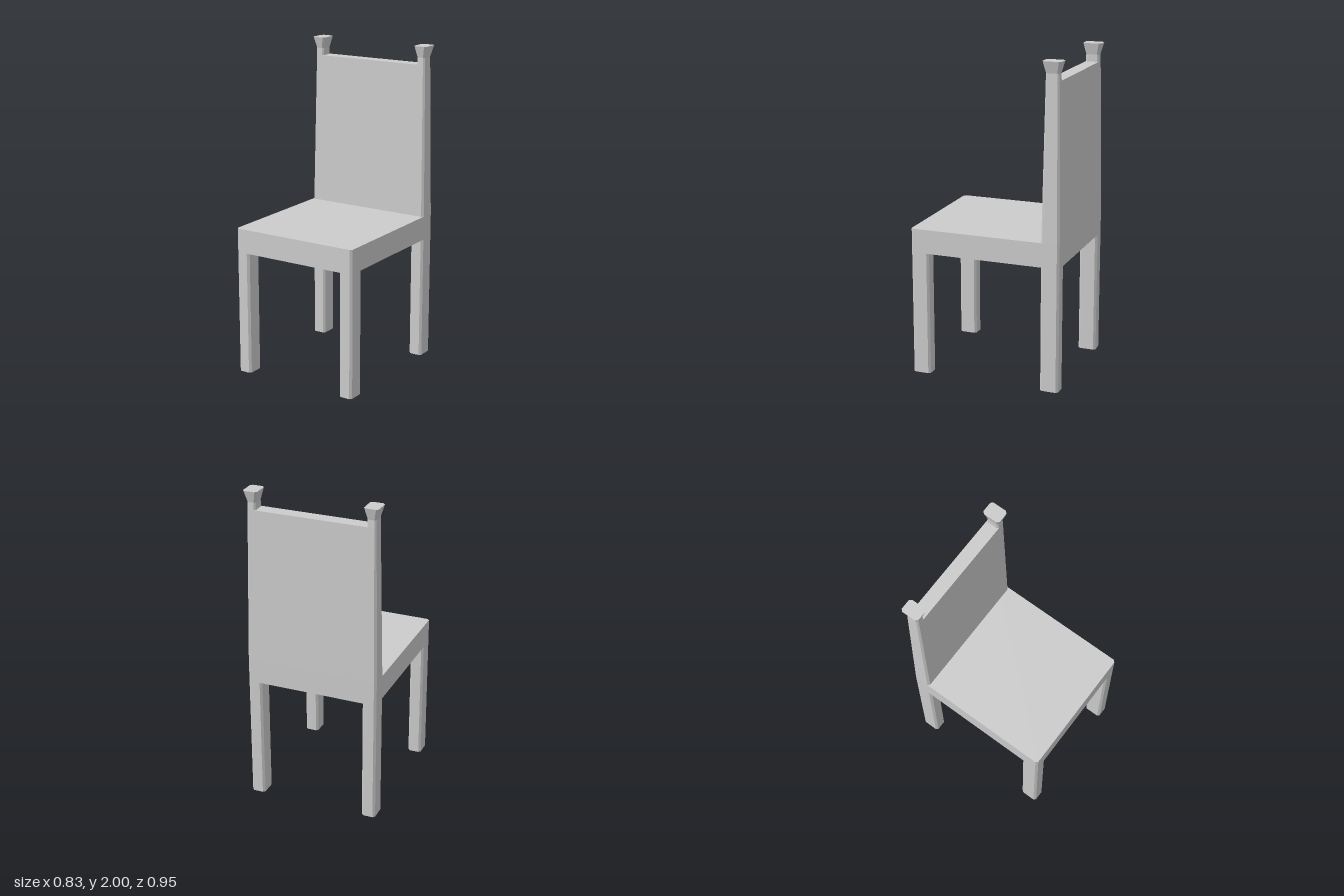
import * as THREE from 'three';

const material = new THREE.MeshStandardMaterial({ color: 0xcccccc, flatShading: true });

// Rectangle with cut corners; points run from +x towards +z
function section([y, x0, x1, z0, z1, c]) {
  return [
    [x1, z0 + c], [x1, z1 - c], [x1 - c, z1], [x0 + c, z1],
    [x0, z1 - c], [x0, z0 + c], [x0 + c, z0], [x1 - c, z0],
  ].map(([x, z]) => new THREE.Vector3(x, y, z));
}

// Stack of cut-corner sections from bottom to top, with optional end caps
function loft(name, rows, capBottom = true, capTop = true) {
  const rings = rows.map(section);
  const points = [];
  for (let r = 0; r < rings.length - 1; r++) {
    const low = rings[r], high = rings[r + 1];
    for (let i = 0; i < 8; i++) {
      const j = (i + 1) % 8;
      points.push(low[i], high[i], high[j], low[i], high[j], low[j]);
    }
  }
  const bottom = rings[0], top = rings[rings.length - 1];
  for (let i = 1; i < 7; i++) {
    if (capBottom) points.push(bottom[0], bottom[i], bottom[i + 1]);
    if (capTop) points.push(top[0], top[i + 1], top[i]);
  }
  const geometry = new THREE.BufferGeometry().setFromPoints(points);
  geometry.computeVertexNormals();
  const mesh = new THREE.Mesh(geometry, material);
  mesh.name = name;
  return mesh;
}

export function createModel() {
  const chair = new THREE.Group();
  chair.name = 'chair';
  const cut = 0.013;

  // Seat slab
  chair.add(loft('seat', [
    [0.78, -0.415, 0.415, -0.475, 0.475, cut],
    [0.93, -0.415, 0.415, -0.475, 0.475, cut],
  ]));

  // Tapering backrest
  chair.add(loft('backrest', [
    [0.93, -0.415, 0.415, -0.475, -0.36, cut],
    [1.885, -0.397, 0.397, -0.459, -0.375, 0.01],
  ], false));

  for (const side of [1, -1]) {
    const sideName = side > 0 ? 'left' : 'right';
    const span = (inner, outer) => side > 0 ? [inner, outer] : [-outer, -inner];

    // Legs
    const legX = span(0.328, 0.415);
    for (const [end, z0, z1] of [['Front', 0.362, 0.475], ['Back', -0.475, -0.36]]) {
      chair.add(loft(`${sideName}${end}Leg`, [
        [0, ...legX, z0, z1, cut],
        [0.78, ...legX, z0, z1, cut],
      ], true, false));
    }

    // Post end with flared finial
    chair.add(loft(`${sideName}Finial`, [
      [1.885, ...span(0.342, 0.397), -0.459, -0.375, 0.01],
      [1.93, ...span(0.342, 0.396), -0.457, -0.376, 0.01],
      [2, ...span(0.326, 0.415), -0.475, -0.36, cut],
    ], false));
  }
  return chair;
}
